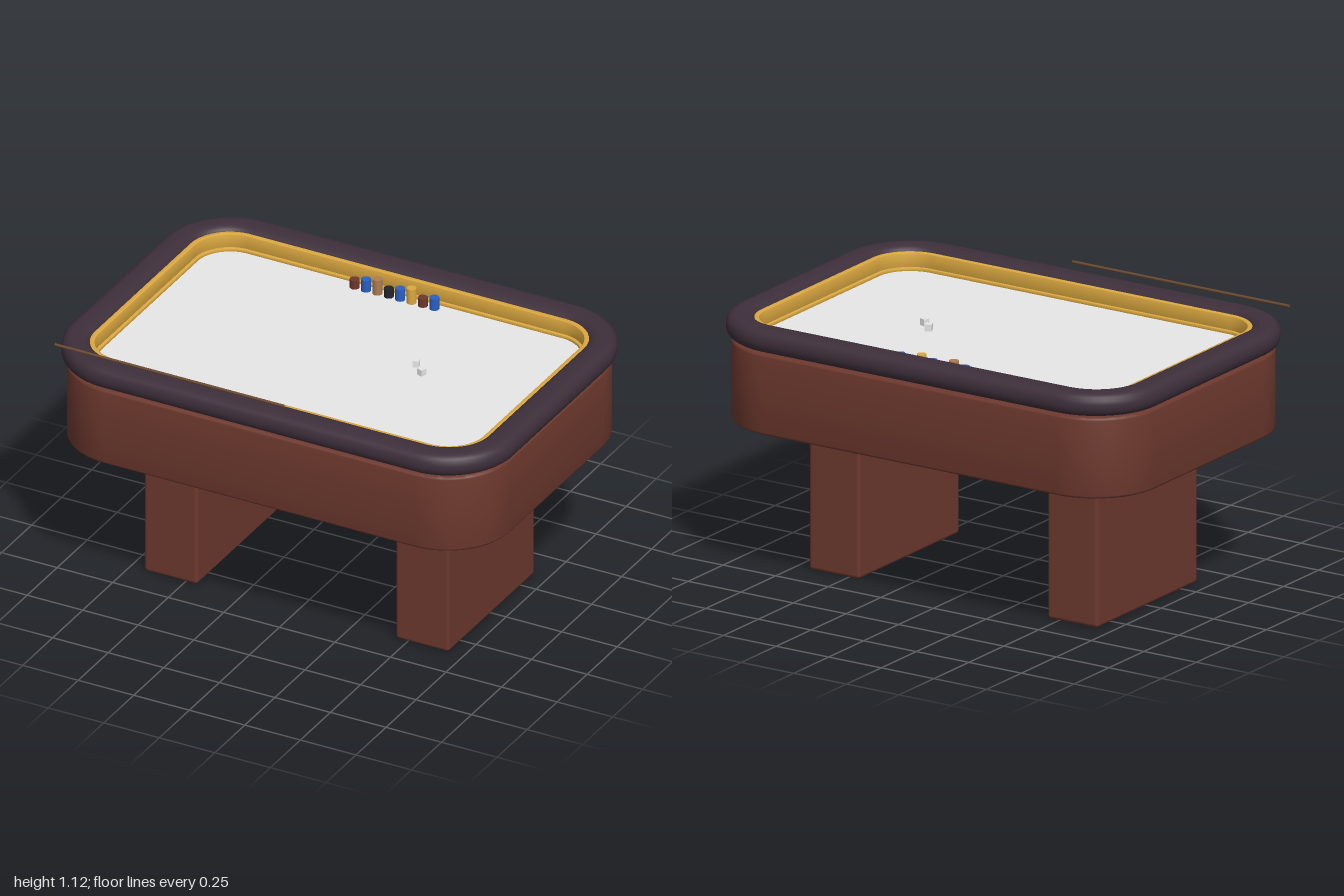
import * as THREE from 'three';
import { toCreasedNormals } from 'three/addons/utils/BufferGeometryUtils.js';
import { RoundedBoxGeometry } from 'three/addons/geometries/RoundedBoxGeometry.js';

const material = (name, color) => {
  const m = new THREE.MeshStandardMaterial({ color });
  m.name = name;
  return m;
};

// Rounded rectangle given by half width, half depth and corner radius
function roundedRect(path, w, d, r) {
  path.moveTo(-w + r, -d);
  path.lineTo(w - r, -d);
  path.absarc(w - r, -d + r, r, -Math.PI / 2, 0);
  path.lineTo(w, d - r);
  path.absarc(w - r, d - r, r, 0, Math.PI / 2);
  path.lineTo(-w + r, d);
  path.absarc(-w + r, d - r, r, Math.PI / 2, Math.PI);
  path.lineTo(-w, -d + r);
  path.absarc(-w + r, -d + r, r, Math.PI, Math.PI * 1.5);
  return path;
}

// Horizontal rounded slab or ring from y0 to y1; bevel = [horizontal, vertical]
function slab([w, d, r], y0, y1, [bh, bv], steps, hole) {
  const shape = roundedRect(new THREE.Shape(), w - bh, d - bh, r - bh);
  if (hole) {
    const [hw, hd, hr] = hole;
    shape.holes.push(roundedRect(new THREE.Path(), hw + bh, hd + bh, hr + bh));
  }
  const geometry = new THREE.ExtrudeGeometry(shape, {
    depth: y1 - y0 - 2 * bv,
    bevelEnabled: bh > 0,
    bevelSize: bh,
    bevelThickness: bv,
    bevelSegments: steps,
    curveSegments: 12,
  });
  geometry.translate(0, 0, bv);
  geometry.rotateX(-Math.PI / 2);
  geometry.translate(0, y0, 0);
  return toCreasedNormals(geometry, 0.6);
}

export function createModel() {
  const group = new THREE.Group();
  group.name = 'gamingTable';

  const wood = material('redBrownWood', 0x6c382d);
  const leather = material('darkLeather', 0x3e2f3b);
  const gold = material('goldTrim', 0xdba840);
  const white = material('whiteFelt', 0xfafafa);
  const blue = material('blueChip', 0x2a60c4);
  const tan = material('tanChip', 0xae7c52);
  const black = material('blackChip', 0x23232c);
  const cane = material('caneBrown', 0x6a4a30);

  const add = (name, geometry, mat, x = 0, y = 0, z = 0) => {
    const mesh = new THREE.Mesh(geometry, mat);
    mesh.name = name;
    mesh.position.set(x, y, z);
    group.add(mesh);
    return mesh;
  };

  // Pedestal legs
  const leg = new RoundedBoxGeometry(0.24, 0.64, 0.72, 3, 0.015);
  for (const side of [-1, 1]) add(side < 0 ? 'rightLeg' : 'leftLeg', leg, wood, side * 0.566, 0.323, 0);

  // Table body and playing surface
  add('body', slab([0.978, 0.67, 0.28], 0.643, 0.98, [0.012, 0.012], 3), wood);
  add('playingSurface', slab([0.858, 0.548, 0.15], 0.975, 0.99, [0, 0], 1), white);

  // Padded armrest with a gold inner wall and lower lip
  add('paddedRail', slab([1, 0.69, 0.3], 0.986, 1.08, [0.04, 0.04], 4, [0.877, 0.567, 0.17]), leather);
  add('goldWall', slab([0.888, 0.578, 0.18], 0.99, 1.062, [0.004, 0.004], 2, [0.864, 0.554, 0.155]), gold);
  add('goldLip', slab([0.88, 0.57, 0.17], 0.988, 1.003, [0.003, 0.003], 2, [0.852, 0.542, 0.145]), gold);

  // Row of chip stacks along the back
  const chips = [wood, blue, tan, black, blue, gold, wood, blue];
  chips.forEach((mat, i) => {
    const h = 0.038 + (i % 3) * 0.014;
    add('chipStack' + (i + 1), new THREE.CylinderGeometry(0.02, 0.02, h, 16), mat, -0.207 + i * 0.0512, 0.99 + h / 2, -0.51);
  });

  // Pair of dice
  const die = new THREE.BoxGeometry(0.028, 0.028, 0.028);
  [[0.305, -0.075, 0.4], [0.357, -0.025, -0.35]].forEach(([x, z, turn], i) => {
    add('die' + (i + 1), die, white, x, 1.004, z).rotation.y = turn;
  });

  // Long dealer's stick above the front rail
  const stick = new THREE.CylinderGeometry(0.006, 0.006, 1.03, 10);
  add('stick', stick, cane, -0.413, 1.116, 0.65).rotation.z = Math.PI / 2;

  return group;
}
